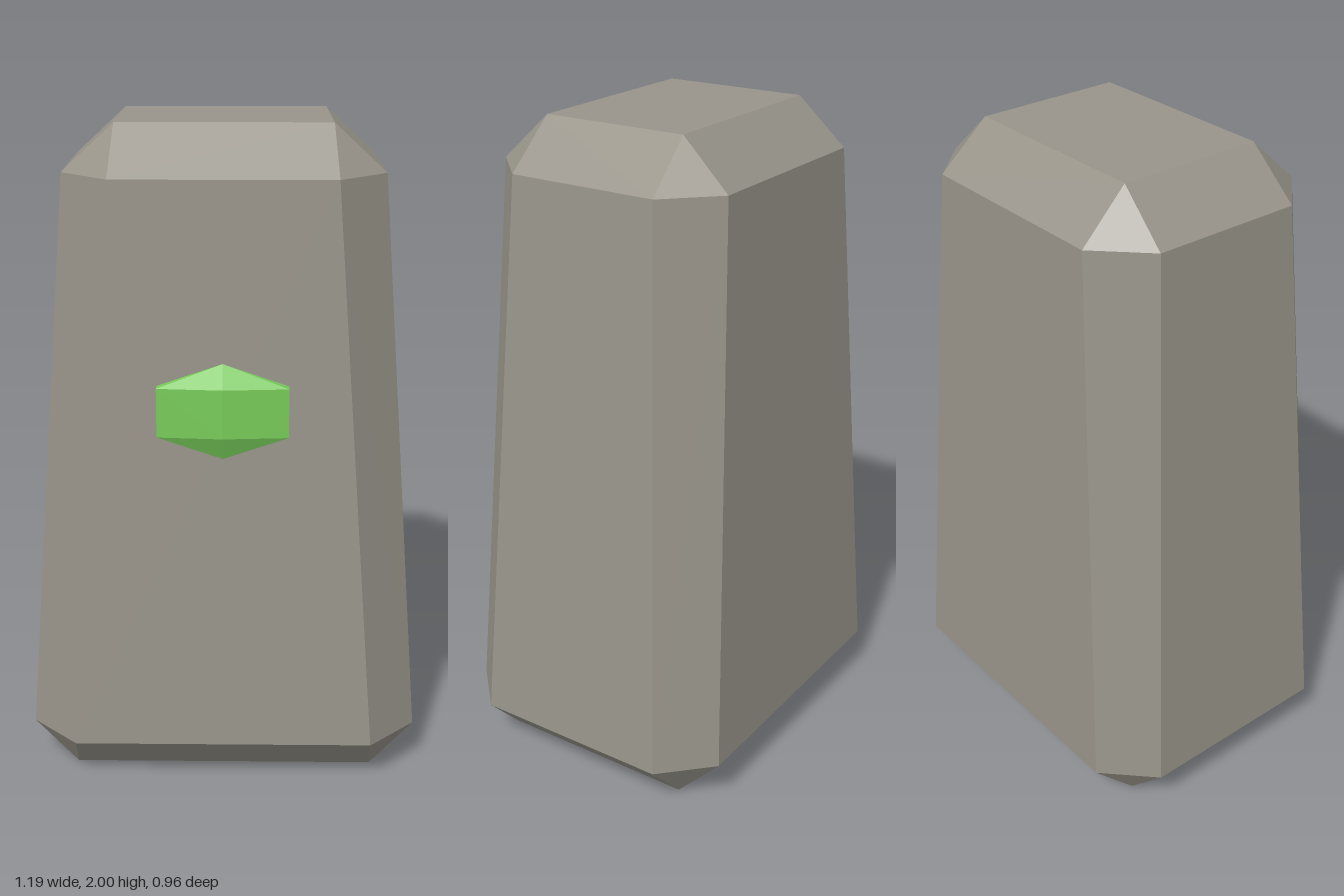
import * as THREE from 'three';
import { ConvexGeometry } from 'three/addons/geometries/ConvexGeometry.js';

const stone = new THREE.MeshStandardMaterial({ color: 0x98948a });
stone.name = 'stone grey';
const green = new THREE.MeshStandardMaterial({ color: 0x78cc5a });
green.name = 'gem green';

// Points mirrored across a rectangle: (+-x, y, zc +- z)
function corners(x, y, z, zc) {
  const pts = [];
  for (const sx of [-1, 1]) for (const sz of [-1, 1]) pts.push(new THREE.Vector3(sx * x, y, zc + sz * z));
  return pts;
}

function facetedMesh(name, points, material) {
  const mesh = new THREE.Mesh(new ConvexGeometry(points), material);
  mesh.name = name;
  return mesh;
}

export function createModel() {
  const group = new THREE.Group();
  group.name = 'stonePillar';

  // Tapered block with chamfered edges and triangular corners
  const zc = -0.023;
  group.add(facetedMesh('pillarBody', [
    ...corners(0.463, 0, 0.32, zc),
    ...corners(0.597, 0.142, 0.315, zc),
    ...corners(0.453, 0.142, 0.458, zc),
    ...corners(0.466, 1.86, 0.236, zc),
    ...corners(0.323, 1.86, 0.379, zc),
    ...corners(0.313, 2, 0.229, zc),
  ], stone));

  // Flat faceted gem floating just in front of the body
  const gemZ = 0.449;
  const gem = [new THREE.Vector3(0, 1.36, gemZ), new THREE.Vector3(0, 1.078, gemZ)];
  for (const y of [1.147, 1.291]) {
    gem.push(...corners(0.188, y, 0.015, gemZ));
    for (const s of [-1, 1]) gem.push(new THREE.Vector3(0, y, gemZ + s * 0.03));
  }
  group.add(facetedMesh('gem', gem, green));

  return group;
}
